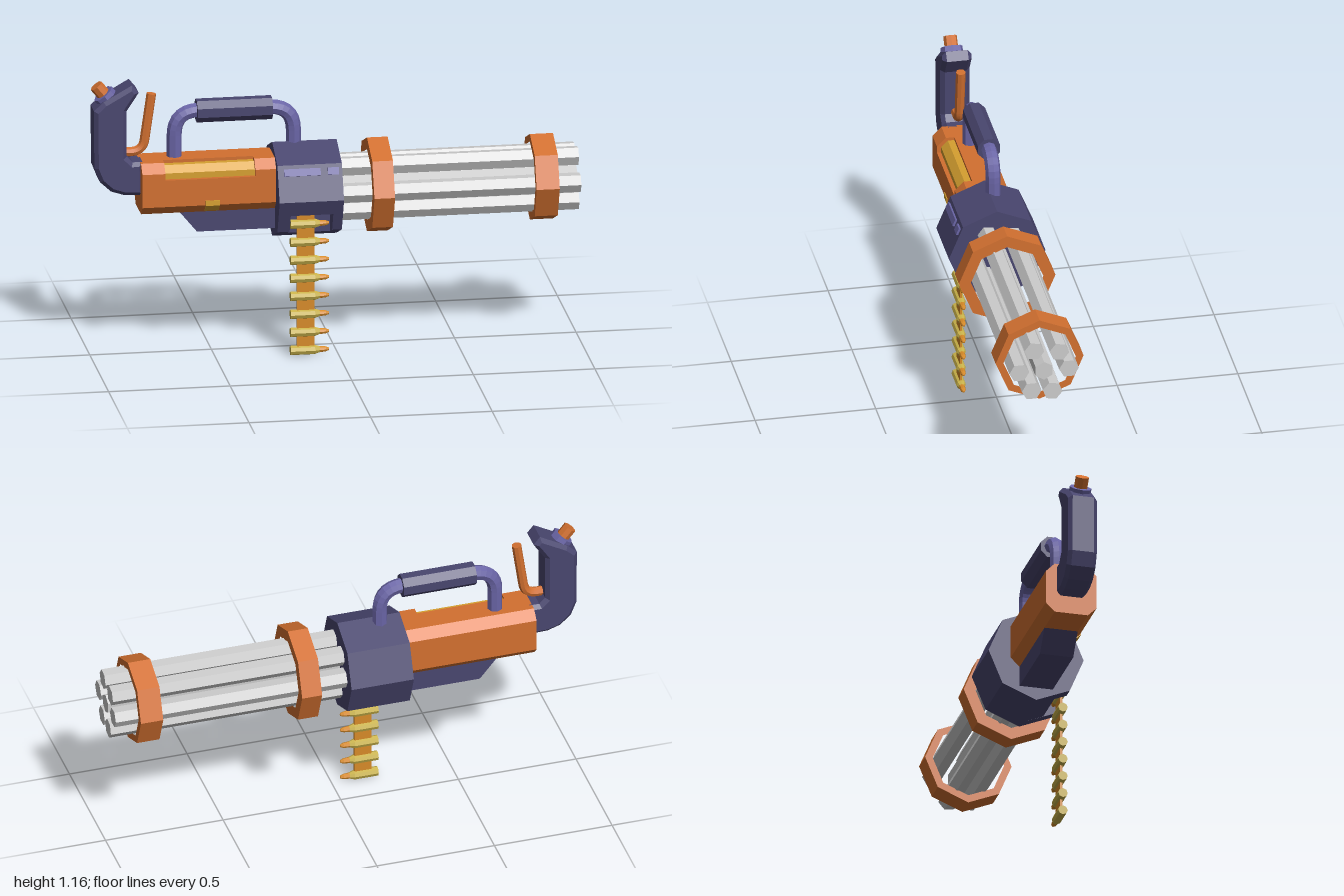
import * as THREE from 'three';

const mat = (color) => new THREE.MeshStandardMaterial({ color, flatShading: true });
const M = {
  dark: mat(0x49466f), blue: mat(0x6a65a6), orange: mat(0xd27030),
  steel: mat(0xcccccc), brass: mat(0xc9b24a), gold: mat(0xd6a030), copper: mat(0xd68a28),
};
const AXIS = 0.675; // height of the barrel axis

export function createModel() {
  const root = new THREE.Group();
  const add = (name, geo, material, parent = root) => {
    const m = new THREE.Mesh(geo, material);
    m.name = name;
    parent.add(m);
    return m;
  };
  const group = (name) => {
    const g = new THREE.Group();
    g.name = name;
    root.add(g);
    return g;
  };

  // Regular polygon as [z, y] points
  const ngon = (n, r, cz = 0, cy = AXIS, rot = 0) =>
    Array.from({ length: n }, (_, i) => {
      const a = rot + (i / n) * Math.PI * 2;
      return [cz + r * Math.cos(a), cy + r * Math.sin(a)];
    });
  const flip = (pts) => pts.map(([z, y]) => new THREE.Vector2(-z, y));

  // Extrude a [z, y] outline along x
  const prism = (pts, x0, x1, hole) => {
    const s = new THREE.Shape(flip(pts));
    if (hole) s.holes.push(new THREE.Path(flip(hole)));
    return new THREE.ExtrudeGeometry(s, { depth: x1 - x0, bevelEnabled: false })
      .rotateY(Math.PI / 2).translate(x0, 0, 0);
  };
  // Extrude an [x, y] outline along z, centred, with chamfered edges
  const slab = (pts, width, bevel) => {
    const s = new THREE.Shape(pts.map(([x, y]) => new THREE.Vector2(x, y)));
    const depth = width - 2 * bevel;
    return new THREE.ExtrudeGeometry(s, {
      depth, bevelEnabled: bevel > 0, bevelSize: bevel, bevelOffset: -bevel,
      bevelThickness: bevel, bevelSegments: 1,
    }).translate(0, 0, -depth / 2);
  };

  // Barrel cluster
  const barrels = group('barrels');
  add('centreBarrel', prism(ngon(6, 0.041, 0, AXIS, Math.PI / 2), 0, 1), M.steel, barrels);
  for (const deg of [0, 52, 113, 180, 240, 290]) {
    const a = THREE.MathUtils.degToRad(180 - deg);
    const pts = ngon(6, 0.041, 0.103 * Math.cos(a), AXIS + 0.103 * Math.sin(a), a);
    add('outerBarrel', prism(pts, 0, 1), M.steel, barrels);
  }

  // Barrel clamps
  add('rearClamp', prism(ngon(8, 0.2), 0.14, 0.225, ngon(8, 0.15)), M.orange);
  add('frontClamp', prism(ngon(8, 0.182), 0.81, 0.905, ngon(8, 0.15)), M.orange);

  // Octagonal housing, the middle section notched for the ammunition feed
  const housing = group('housing');
  const oct = ngon(8, 0.2);
  const notched = [...oct.slice(0, 7), [0.09, 0.513], [0.09, 0.61], [0.173, 0.61]];
  add('housingRear', prism(oct, -0.25, -0.2), M.dark, housing);
  add('housingMiddle', prism(notched, -0.2, -0.025), M.dark, housing);
  add('housingFront', prism(oct, -0.025, 0.015), M.dark, housing);
  for (const [x0, x1] of [[-0.225, -0.075], [-0.045, 0]]) {
    const p = add('housingPlate', new THREE.BoxGeometry(x1 - x0, 0.03, 0.016), M.blue, housing);
    p.position.set((x0 + x1) / 2, 0.788, 0.154);
    p.rotation.x = -Math.PI / 8;
  }

  // Chamfered rear body with a recessed strip on its upper edge
  const body = group('rearBody');
  const lower = [[-0.107, 0.793], [-0.107, 0.652], [-0.07, 0.615], [0.07, 0.615], [0.107, 0.652]];
  const full = [[-0.07, 0.83], ...lower, [0.107, 0.793], [0.07, 0.83]];
  const cut = [[-0.07, 0.83], ...lower, [0.107, 0.765], [0.035, 0.765], [0.035, 0.83]];
  add('bodyBack', prism(full, -0.8, -0.705), M.orange, body);
  add('bodyMiddle', prism(cut, -0.705, -0.335), M.orange, body);
  add('bodyFront', prism(full, -0.335, -0.25), M.orange, body);
  add('sideStrip', prism([[0.035, 0.765], [0.09, 0.765], [0.09, 0.79], [0.062, 0.817], [0.035, 0.817]],
    -0.705, -0.335), M.gold, body);
  add('sideLatch', prism([[0.07, 0.62], [0.08, 0.62], [0.111, 0.65], [0.111, 0.672], [0.07, 0.672]],
    -0.54, -0.482), M.gold, body);

  // Wedge under the body
  add('underBlock', slab([[-0.64, 0.63], [-0.64, 0.615], [-0.57, 0.53], [-0.24, 0.53], [-0.24, 0.63]], 0.14, 0), M.dark);

  // Upright rear grip with a swept elbow
  add('rearGrip', slab([
    [-0.79, 0.69], [-0.865, 0.692], [-0.92, 0.71], [-0.965, 0.752], [-0.988, 0.81],
    [-0.99, 1.055], [-0.95, 1.092], [-0.833, 1.158], [-0.806, 1.125],
    [-0.855, 1.05], [-0.855, 0.855], [-0.83, 0.83], [-0.79, 0.83],
  ], 0.122, 0.016), M.dark);

  // Thumb button on top of the grip
  const button = group('thumbButton');
  button.position.set(-0.93, 1.095, 0);
  button.rotation.z = 0.68;
  add('buttonBase', new THREE.CylinderGeometry(0.046, 0.046, 0.05, 8), M.blue, button);
  add('buttonCap', new THREE.CylinderGeometry(0.028, 0.028, 0.05, 8).translate(0, 0.045, 0), M.orange, button);

  // Round-cornered tube through [x, y] points, closed at its far end
  const pipe = (pts, r, bend, z) => {
    const v = pts.map(([x, y]) => new THREE.Vector3(x, y, z));
    const path = new THREE.CurvePath();
    let from = v[0];
    for (let i = 1; i < v.length - 1; i++) {
      const a = v[i].clone().add(v[i - 1].clone().sub(v[i]).setLength(bend));
      const b = v[i].clone().add(v[i + 1].clone().sub(v[i]).setLength(bend));
      path.add(new THREE.LineCurve3(from, a));
      path.add(new THREE.QuadraticBezierCurve3(a, v[i], b));
      from = b;
    }
    path.add(new THREE.LineCurve3(from, v[v.length - 1]));
    return new THREE.TubeGeometry(path, 40, r, 8);
  };

  // Trigger lever
  add('triggerLever', pipe([[-0.87, 0.862], [-0.782, 0.862], [-0.747, 1.105]], 0.02, 0.05, 0), M.orange);
  const cap = add('leverTip', new THREE.CylinderGeometry(0.02, 0.02, 0.004, 8), M.orange);
  cap.position.set(-0.747, 1.104, 0);
  cap.rotation.z = -0.14;

  // Carry handle
  const handle = group('carryHandle');
  add('handleTube', pipe([[-0.65, 0.79], [-0.65, 1.02], [-0.16, 1.02], [-0.16, 0.79]], 0.031, 0.1, -0.018), M.blue, handle);
  add('handleGrip', prism(ngon(8, 0.049, -0.018, 1.018, Math.PI / 8), -0.56, -0.25), M.dark, handle);

  // Ammunition belt hanging from the feed
  const belt = group('ammunitionBelt');
  add('beltStrip', new THREE.BoxGeometry(0.072, 0.58, 0.01).translate(-0.132, 0.31, 0.128), M.copper, belt);
  const profile = (pts) => new THREE.LatheGeometry(pts.map(([r, y]) => new THREE.Vector2(r, y)), 8)
    .rotateZ(-Math.PI / 2);
  const casing = profile([[0, -0.195], [0.02, -0.195], [0.02, -0.095], [0.013, -0.075], [0, -0.075]]);
  const tip = profile([[0.013, -0.075], [0.011, -0.05], [0.006, -0.037], [0, -0.035]]);
  for (let i = 0; i < 8; i++) {
    const round = new THREE.Group();
    round.name = 'cartridge';
    round.position.set(0, 0.023 + i * 0.0768, 0.128);
    add('casing', casing, M.brass, round);
    add('bulletTip', tip, M.copper, round);
    belt.add(round);
  }
  return root;
}
